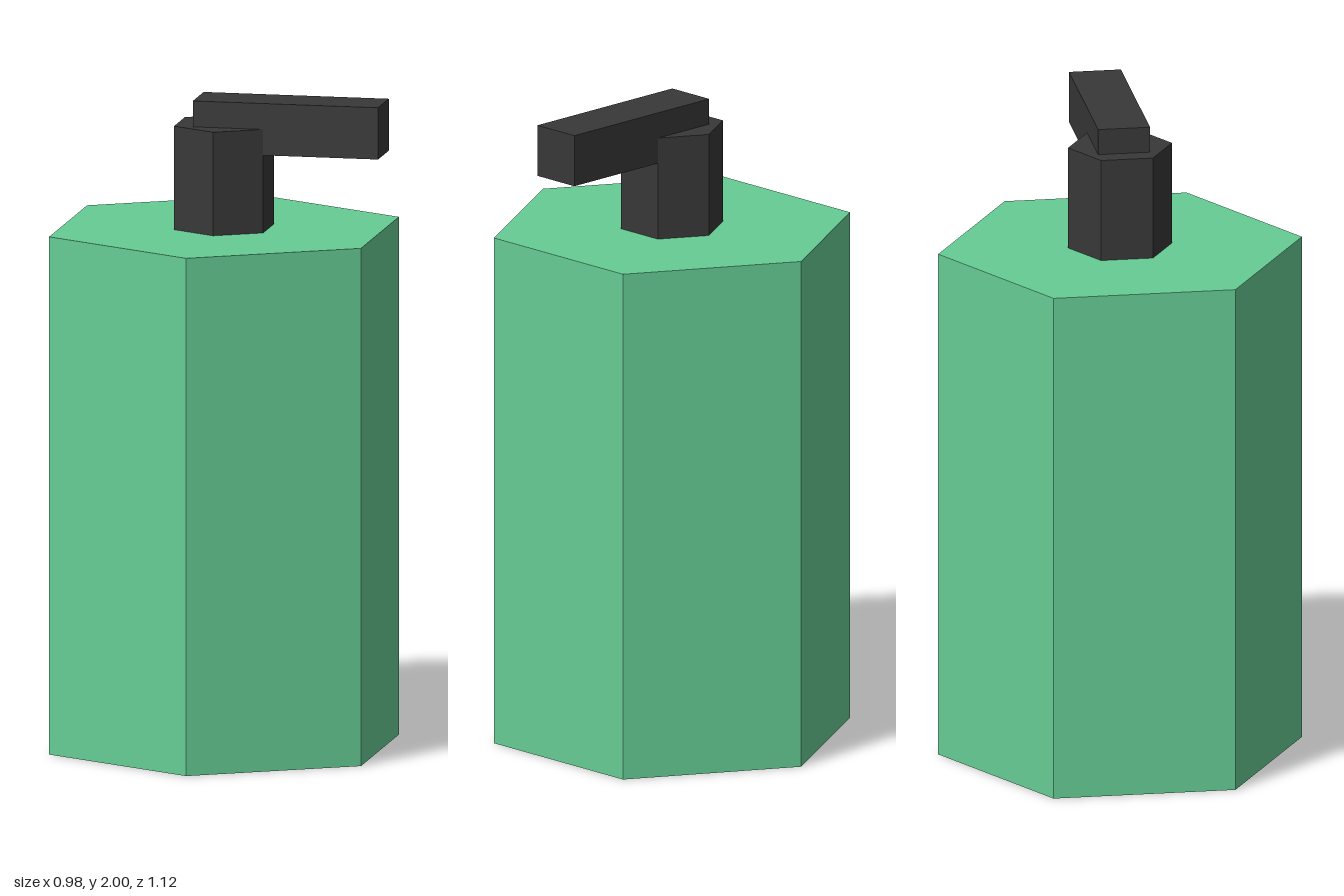
import * as THREE from 'three';

export function createModel() {
  const model = new THREE.Group();
  model.name = 'pumpBottle';

  const green = new THREE.MeshStandardMaterial({ color: 0x66cc94, flatShading: true });
  const black = new THREE.MeshStandardMaterial({ color: 0x383838, flatShading: true });

  const add = (name, geometry, material, x, y) => {
    const mesh = new THREE.Mesh(geometry, material);
    mesh.name = name;
    mesh.position.set(x, y, 0);
    model.add(mesh);
  };

  // Hexagonal parts share an axis, offset to balance the spout's overhang
  const axisX = -0.0055;
  const hexPrism = (radius, height) => new THREE.CylinderGeometry(radius, radius, height, 6);

  // Bottle body
  add('body', hexPrism(0.56, 1.6), green, axisX, 0.8);

  // Pump neck
  add('neck', hexPrism(0.16, 0.32), black, axisX, 1.76);

  // Spout reaching to the left, partly sunk into the neck
  add('spout', new THREE.BoxGeometry(0.576, 0.16, 0.16), black, axisX + 0.208, 1.92);

  return model;
}
